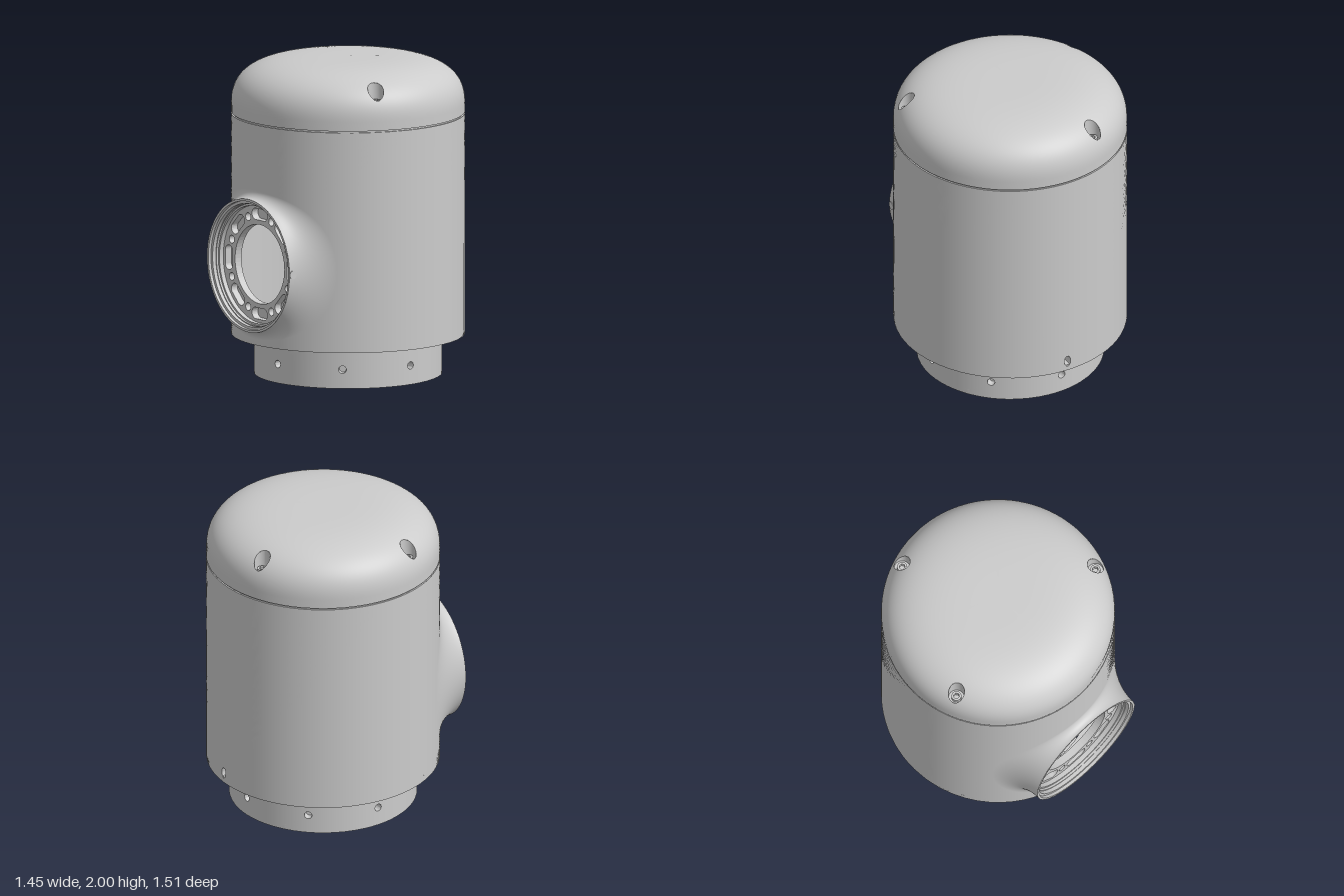
import * as THREE from 'three';
import { toCreasedNormals } from 'three/addons/utils/BufferGeometryUtils.js';

const { PI, sin, cos, abs, max, hypot, atan2, acos, sqrt } = Math;
const V = (x, y, z) => new THREE.Vector3(x, y, z);
const MAT = new THREE.MeshStandardMaterial({ color: 0xcccccc, side: THREE.DoubleSide });
const R = 0.727, BASE_R = 0.585, BODY_Y = 0.25, SEAM_Y = 1.64;
const PORT_Y = 0.757, PORT_R = 0.42, PORT_Z = 0.784; // measured from the body axis

// Grid closed around t; fn(t, s) gives a point and, optionally, a normal
function grid(nt, ns, fn) {
  const pos = [], nor = [], idx = [];
  for (let j = 0; j <= ns; j++) for (let i = 0; i <= nt; i++) {
    const { p, n } = fn(i / nt * 2 * PI, j / ns);
    pos.push(p.x, p.y, p.z);
    if (n) nor.push(n.x, n.y, n.z);
    if (i < nt && j < ns) {
      const a = j * (nt + 1) + i, b = a + nt + 1;
      idx.push(a, b, a + 1, b, b + 1, a + 1);
    }
  }
  const g = new THREE.BufferGeometry();
  g.setAttribute('position', new THREE.Float32BufferAttribute(pos, 3));
  g.setIndex(idx);
  if (nor.length) g.setAttribute('normal', new THREE.Float32BufferAttribute(nor, 3));
  else g.computeVertexNormals();
  return g;
}

// Rectangular panel of a surface S(u, v) around a hole boundary hole(t) = [u, v]
function panel(S, hole, [cu, cv], [u0, u1, v0, v1], nt = 128, ns = 14) {
  const E = 1e-4;
  return grid(nt, ns, (t, s) => {
    const m = max(abs(cos(t)), abs(sin(t))), dx = cos(t) / m, dy = sin(t) / m;
    const [hu, hv] = hole(t);
    const u = hu + s * (cu + abs(dx) * ((dx > 0 ? u1 : u0) - cu) - hu);
    const v = hv + s * (cv + abs(dy) * ((dy > 0 ? v1 : v0) - cv) - hv);
    const n = S(u + E, v).sub(S(u - E, v)).cross(S(u, v + E).sub(S(u, v - E)));
    if (n.length() < 1e-11) n.set(0, 1, 0);
    return { p: S(u, v), n: n.normalize() };
  });
}

// Closed loops of points joined in order
const loft = (rows, nt = 32) =>
  toCreasedNormals(grid(nt, rows.length - 1, (t, s) => ({ p: rows[Math.round(s * (rows.length - 1))](t) })), 0.7);

const cylinderS = r => (u, v) => V(r * sin(u), v, r * cos(u));
const oval = (r, cu, cv, a, b) => t => [cu + a * cos(t) / r, cv + b * sin(t)];
const blindHole = (r, hole, [cu, cv], depth) => loft([
  t => cylinderS(r)(...hole(t)),
  t => cylinderS(r - depth)(...hole(t)),
  () => cylinderS(r - depth)(cu, cv)]);

// Rolling-ball fillet between the port collar and the body
function fillet(t) {
  const c = cos(t), zc = 0.777;
  const A = sin(t) ** 2, B = 2 * (R - PORT_R * c * c), C = R * R - PORT_R ** 2 * c * c - zc * zc;
  const rho = -2 * C / (B + sqrt(B * B - 4 * A * C));
  const d = PORT_R + rho, centre = V(d * c, PORT_Y + d * sin(t), zc);
  const k = R / (R + rho);
  return { rho, centre, start: V(PORT_R * c, PORT_Y + PORT_R * sin(t), zc), end: V(centre.x * k, centre.y, zc * k) };
}

const circlePath = (x, y, r) => new THREE.Path().absarc(x, y, r, 0, 2 * PI, true);
function disc(r, holes, depth) {
  const shape = new THREE.Shape().absarc(0, 0, r, 0, 2 * PI, false);
  shape.holes.push(...holes);
  return new THREE.ExtrudeGeometry(shape, { depth, bevelEnabled: false, curveSegments: 32 });
}
const around = (n, start, fn) => Array.from({ length: n }, (_, i) => fn(start + i * 2 * PI / n));

// Rounded slot lying across the radius at angle a
function slotPath(a, radius, half, w) {
  const pts = [];
  for (let i = 0; i < 24; i++) {
    const q = i / 24 * 2 * PI + PI / 24;
    const x = w * cos(q), y = w * sin(q) + (sin(q) > 0 ? half : -half);
    const X = radius + x;
    pts.push(new THREE.Vector2(X * cos(a) - y * sin(a), X * sin(a) + y * cos(a)));
  }
  return new THREE.Path(pts.reverse());
}

export function createModel() {
  const root = new THREE.Group();
  const unit = new THREE.Group();
  unit.position.z = -0.027;
  unit.name = 'housing';
  root.add(unit);
  const add = (name, geo, x = 0, y = 0, z = 0) => {
    const m = new THREE.Mesh(geo, MAT);
    m.name = name;
    m.position.set(x, y, z);
    unit.add(m);
    return m;
  };

  // Body: front wall open at the port, back wall with a small drain slot
  add('bodyFront', panel(cylinderS(R), t => {
    const { end } = fillet(t);
    return [atan2(end.x, end.z), end.y];
  }, [0, PORT_Y], [-PI / 2, PI / 2, BODY_Y, SEAM_Y]));
  const drain = oval(R, PI, 0.315, 0.022, 0.037);
  add('bodyBack', panel(cylinderS(R), drain, [PI, 0.315], [PI / 2, 1.5 * PI, BODY_Y, SEAM_Y], 128, 18));
  add('drainSlot', blindHole(R, drain, [PI, 0.315], 0.06));

  // Underside of the body with bolt holes
  const ringHoles = around(8, PI / 8, a => circlePath(0.66 * cos(a), 0.66 * sin(a), 0.03));
  add('bodyUnderside', disc(R - 0.001, [circlePath(0, 0, BASE_R - 0.005), ...ringHoles], 0.04).rotateX(PI / 2), 0, BODY_Y + 0.04);

  // Base: eight wall panels, each with a screw hole, and a drilled floor
  for (let i = 0; i < 8; i++) {
    const u = 0.068 + i * PI / 4, c = [u, 0.12], hole = oval(BASE_R, ...c, 0.024, 0.024);
    add('baseWall', panel(cylinderS(BASE_R), hole, c, [u - PI / 8, u + PI / 8, 0, BODY_Y], 32, 4));
    add('baseScrewHole', blindHole(BASE_R, hole, c, 0.05));
  }
  const floorHoles = around(8, PI / 8, a => circlePath(0.53 * cos(a), 0.53 * sin(a), 0.018));
  add('baseFloor', disc(BASE_R - 0.001, [circlePath(0, 0, 0.094), ...floorHoles], 0.06).rotateX(PI / 2), 0, 0.06);

  // Seam groove between body and cap
  const groove = [[R, SEAM_Y], [R - 0.01, SEAM_Y], [R - 0.01, 1.65], [R, 1.65], [R, 1.705]];
  add('seamGroove', toCreasedNormals(new THREE.LatheGeometry(groove.map(p => new THREE.Vector2(...p)), 96), 0.7));

  // Domed cap in three panels, each with a screw pocket
  const capS = (u, v) => {
    const r = R * sqrt(max(0, cos(v)));
    return V(r * sin(u), 1.7 + 0.3 * max(0, sin(v)) ** (1 / 1.2), r * cos(u));
  };
  const capV = r => acos((r / R) ** 2);
  const pr = 0.65, pocketY = 1.8;
  for (const [deg, from, to] of [[67.6, 0, 135], [202.5, 135, 247.5], [292.4, 247.5, 360]]) {
    const u = deg * PI / 180, px = pr * sin(u), pz = pr * cos(u);
    const hole = t => {
      const x = 0.05 * cos(t), z = pr - 0.05 * sin(t);
      return [u + atan2(x, z), capV(hypot(x, z))];
    };
    add('cap', panel(capS, hole, [u, capV(pr)], [from * PI / 180, to * PI / 180, 0, PI / 2], 128, 20));
    add('screwPocket', loft([
      t => capS(...hole(t)),
      t => capS(...hole(t)).setY(pocketY),
      () => V(px, pocketY, pz)]));
    const hex = new THREE.Path(around(6, 0, a => new THREE.Vector2(0.019 * cos(a), -0.019 * sin(a))));
    add('capScrew', disc(0.031, [hex], 0.03).rotateX(PI / 2), px, pocketY + 0.031, pz);
  }

  // Port collar blending into the body
  add('portCollar', grid(128, 17, (t, s) => {
    const { rho, centre, start, end } = fillet(t);
    if (s === 0) return { p: start.setZ(PORT_Z), n: V(cos(t), sin(t), 0) };
    const dir = start.sub(centre).normalize().lerp(end.sub(centre).normalize(), (s * 17 - 1) / 16).normalize();
    return { p: centre.clone().addScaledVector(dir, rho), n: dir.clone().negate() };
  }));

  // Stepped rim inside the collar
  const rim = [[0.42, 0], [0.405, 0], [0.405, -0.02], [0.388, -0.02], [0.388, -0.045], [0.382, -0.045],
    [0.382, -0.06], [0.37, -0.06], [0.37, -0.14]].map(p => new THREE.Vector2(...p));
  add('portRim', toCreasedNormals(new THREE.LatheGeometry(rim, 96), 0.6).rotateX(PI / 2), 0, PORT_Y, PORT_Z);

  // Mounting plate with alternating slots and round holes
  const cuts = [
    ...around(8, 0, a => slotPath(a, 0.313, 0.042, 0.036)),
    ...around(8, PI / 8, a => circlePath(0.307 * cos(a), 0.307 * sin(a), 0.025))];
  add('portPlate', disc(0.371, [circlePath(0, 0, 0.25), ...cuts], 0.05), 0, PORT_Y, PORT_Z - 0.14);
  add('portPlateBacking', new THREE.RingGeometry(0.25, 0.371, 64), 0, PORT_Y, PORT_Z - 0.137);

  // Set screw in the side of the collar
  add('collarSetScrew', new THREE.CylinderGeometry(0.026, 0.026, 0.014, 24).rotateZ(PI / 2), PORT_R - 0.003, PORT_Y, PORT_Z - 0.027);

  return root;
}
